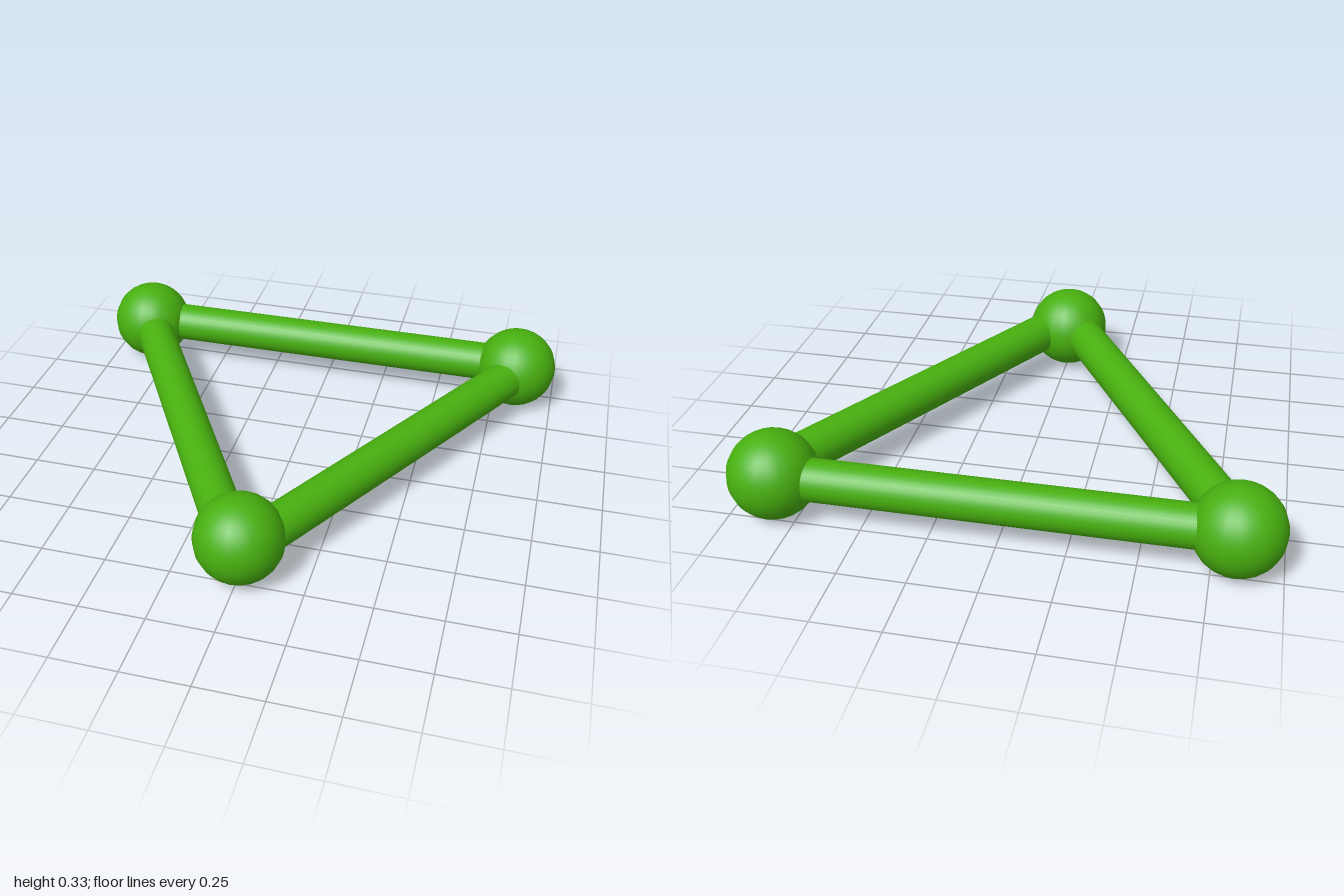
import * as THREE from 'three';

export function createModel() {
  const model = new THREE.Group();
  const green = new THREE.MeshStandardMaterial({ color: 0x48b00f });
  const Y = 0.167, BALL_R = 0.167, BAR_R = 0.08;

  // Corner balls
  const ballGeometry = new THREE.SphereGeometry(BALL_R, 20, 24);
  const corners = {
    frontBall: [0, 0.695],
    leftBall: [0.833, -0.697],
    rightBall: [-0.833, -0.697],
  };
  for (const [name, [x, z]] of Object.entries(corners)) {
    const ball = new THREE.Mesh(ballGeometry, green);
    ball.name = name;
    ball.position.set(x, Y, z);
    model.add(ball);
  }

  // Straight round bar between two points of the ground plan
  function addBar(name, [x1, z1], [x2, z2]) {
    const start = new THREE.Vector3(x1, Y, z1);
    const end = new THREE.Vector3(x2, Y, z2);
    const axis = end.clone().sub(start);
    const bar = new THREE.Mesh(new THREE.CylinderGeometry(BAR_R, BAR_R, axis.length(), 32), green);
    bar.name = name;
    bar.position.copy(start).lerp(end, 0.5);
    bar.quaternion.setFromUnitVectors(new THREE.Vector3(0, 1, 0), axis.normalize());
    model.add(bar);
  }

  // The bars sit slightly outside the lines joining the ball centres
  addBar('backBar', [-0.833, -0.709], [0.833, -0.709]);
  addBar('leftBar', [0.858, -0.682], [0.04, 0.719]);
  addBar('rightBar', [-0.842, -0.692], [-0.025, 0.71]);

  return model;
}
